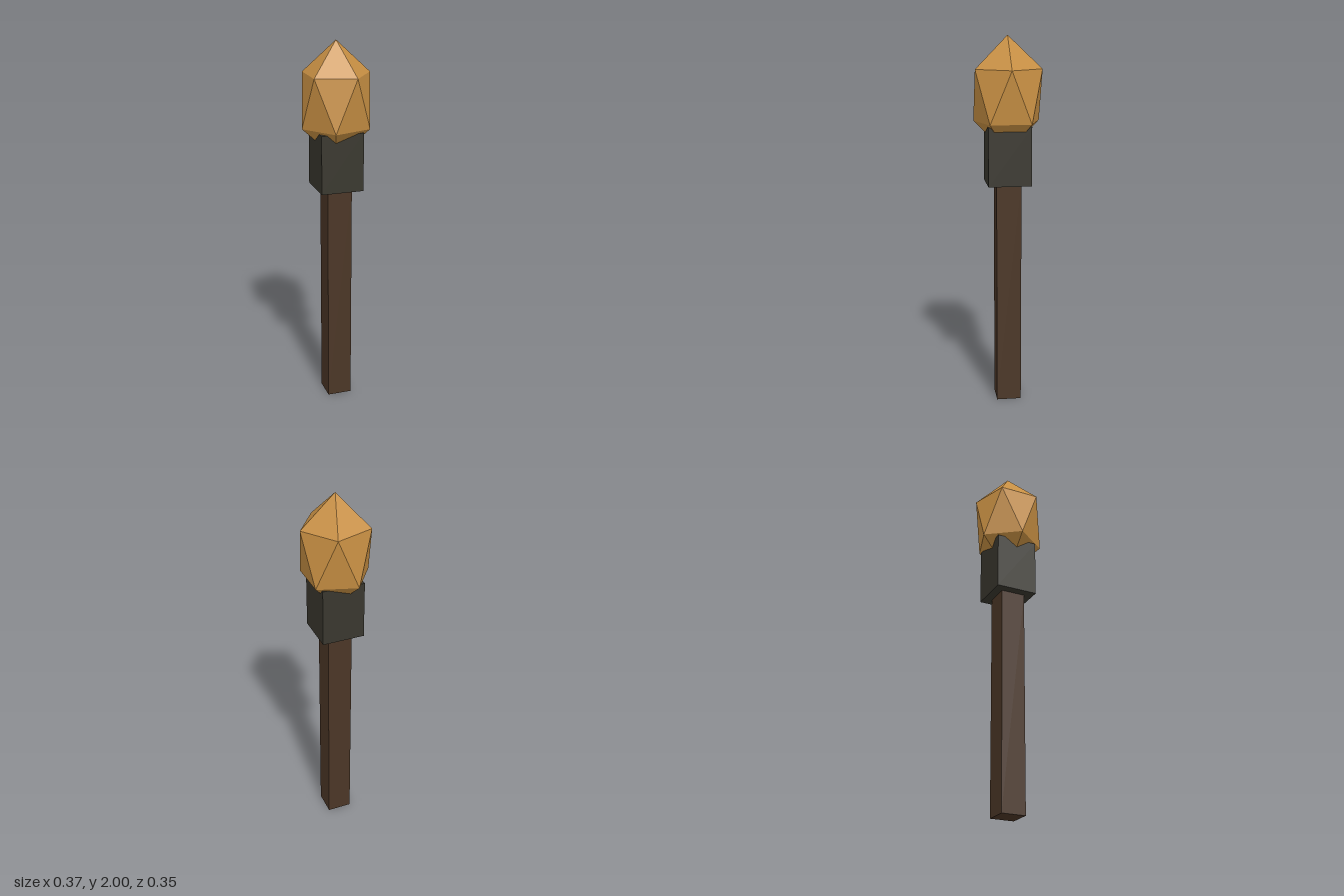
import * as THREE from 'three';

const material = (color) => new THREE.MeshStandardMaterial({ color, flatShading: true });

// Square post centred on the y axis, from y0 to y1
function post(name, width, y0, y1, color) {
  const mesh = new THREE.Mesh(new THREE.BoxGeometry(width, y1 - y0, width), material(color));
  mesh.name = name;
  mesh.position.y = (y0 + y1) / 2;
  return mesh;
}

// Stretched icosahedron: two poles and two staggered five-point rings
function flameGeometry(radius, bottomY, topY) {
  const mid = (bottomY + topY) / 2;
  const ringY = (topY - bottomY) / 2 / Math.sqrt(5);
  const ring = (y, offset) => Array.from({ length: 5 }, (_, i) => {
    const a = (i + offset) * Math.PI * 2 / 5;
    return [radius * Math.cos(a), y, radius * Math.sin(a)];
  });
  const top = [0, topY, 0], bottom = [0, bottomY, 0];
  const upper = ring(mid + ringY, 0), lower = ring(mid - ringY, 0.5);
  const points = [];
  for (let i = 0; i < 5; i++) {
    const j = (i + 1) % 5;
    points.push(top, upper[j], upper[i]);
    points.push(upper[i], upper[j], lower[i]);
    points.push(upper[j], lower[j], lower[i]);
    points.push(lower[i], lower[j], bottom);
  }
  const geometry = new THREE.BufferGeometry();
  geometry.setAttribute('position', new THREE.Float32BufferAttribute(points.flat(), 3));
  geometry.computeVertexNormals();
  return geometry;
}

export function createModel() {
  const torch = new THREE.Group();
  torch.name = 'torch';

  // Wooden handle and the dark collar on top of it
  torch.add(post('handle', 0.133, 0, 1.23, 0x4b3626));
  torch.add(post('collar', 0.229, 1.222, 1.535, 0x39372e));

  // Faceted flame, sunk into the collar
  const flame = new THREE.Mesh(flameGeometry(0.185, 1.38, 2), material(0xc78f43));
  flame.name = 'flame';
  torch.add(flame);

  return torch;
}
